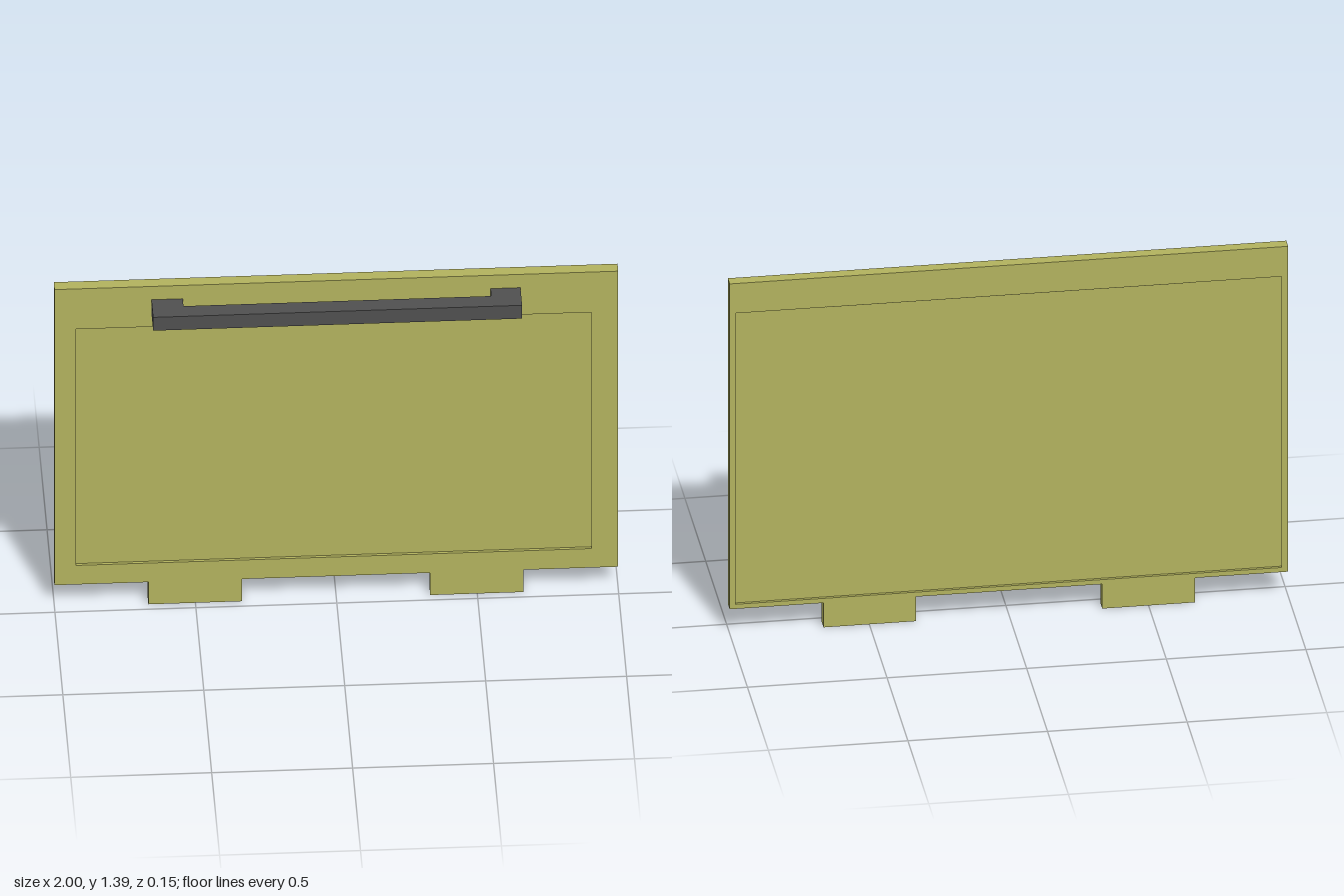
import * as THREE from 'three';

const BACK = -0.075, FRONT = -0.03, DEPTH = 0.011;

// Board silhouette with two tabs at the foot
function outline() {
  return new THREE.Shape([
    [-1, 0.097], [-0.667, 0.097], [-0.667, 0], [-0.334, 0], [-0.334, 0.097],
    [0.333, 0.097], [0.333, 0], [0.664, 0], [0.664, 0.097], [1, 0.097],
    [1, 1.388], [-1, 1.388],
  ].map(([x, y]) => new THREE.Vector2(x, y)));
}

function rectHole(x0, x1, y0, y1) {
  return new THREE.Path([
    new THREE.Vector2(x0, y0), new THREE.Vector2(x0, y1),
    new THREE.Vector2(x1, y1), new THREE.Vector2(x1, y0),
  ]);
}

export function createModel() {
  const group = new THREE.Group();
  const olive = new THREE.MeshStandardMaterial({ name: 'olive', color: 0xb2b25e });
  const charcoal = new THREE.MeshStandardMaterial({ name: 'charcoal', color: 0x505050 });

  function slab(name, shape, z0, z1, material) {
    const geo = new THREE.ExtrudeGeometry(shape, { depth: z1 - z0, bevelEnabled: false });
    geo.translate(0, 0, z0);
    const mesh = new THREE.Mesh(geo, material);
    mesh.name = name;
    group.add(mesh);
  }

  // Core panel between two frames, leaving a shallow recess on each side
  slab('corePanel', outline(), BACK + DEPTH, FRONT - DEPTH, olive);

  const front = outline();
  front.holes.push(rectHole(-0.924, 0.905, 0.18, 1.212));
  slab('frontFrame', front, FRONT - DEPTH, FRONT, olive);

  const back = outline();
  back.holes.push(rectHole(-0.977, 0.98, 0.115, 1.27));
  slab('backFrame', back, BACK, BACK + DEPTH, olive);

  // Handle: a grip on two posts, with a rail set into the board
  function bar(name, x0, x1, y0, y1, z0, z1) {
    const mesh = new THREE.Mesh(new THREE.BoxGeometry(x1 - x0, y1 - y0, z1 - z0), charcoal);
    mesh.position.set((x0 + x1) / 2, (y0 + y1) / 2, (z0 + z1) / 2);
    mesh.name = name;
    group.add(mesh);
  }
  bar('handleGrip', -0.656, 0.653, 1.272, 1.33, 0.015, 0.077);
  bar('handlePostRight', -0.656, -0.545, 1.272, 1.33, FRONT, 0.015);
  bar('handlePostLeft', 0.547, 0.653, 1.272, 1.33, FRONT, 0.015);
  bar('handleRail', -0.656, 0.653, 1.269, 1.33, BACK + 0.001, FRONT - 0.004);

  return group;
}
